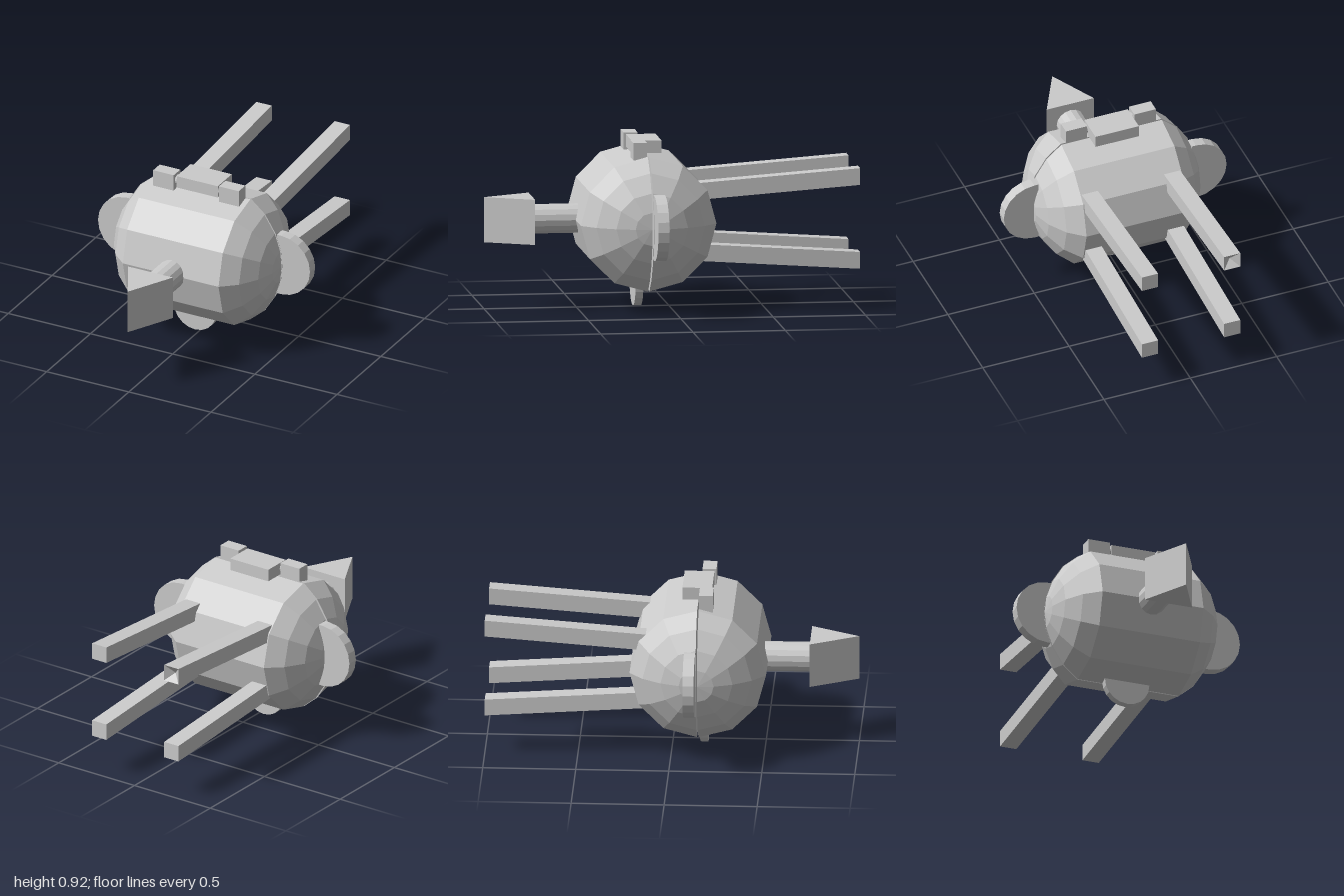
import * as THREE from 'three';

const grey = new THREE.MeshStandardMaterial({ color: 0xcccccc, flatShading: true, side: THREE.DoubleSide });

export function createModel() {
  const group = new THREE.Group();
  const add = (name, geometry, x = 0, y = 0, z = 0) => {
    const mesh = new THREE.Mesh(geometry, grey);
    mesh.name = name;
    mesh.position.set(x, y, z);
    group.add(mesh);
    return mesh;
  };
  const box = (name, x0, x1, y0, y1, z0, z1) =>
    add(name, new THREE.BoxGeometry(x1 - x0, y1 - y0, z1 - z0), (x0 + x1) / 2, (y0 + y1) / 2, (z0 + z1) / 2);

  // Body: two facetted capsule halves lying along x, with a fine seam between them
  const R = 0.363, bodyY = 0.482, bodyZ = 0.146, seam = 0.004;
  const profile = [
    [0, -0.488], [0.09, -0.478], [0.19, -0.443], [0.29, -0.38], [R, -0.296],
    [R, 0.286], [0.29, 0.372], [0.19, 0.435], [0.09, 0.468], [0, 0.476],
  ].map(([r, x]) => new THREE.Vector2(r, x));
  const outline = new THREE.Shape([
    ...profile.map(p => new THREE.Vector2(p.y, -p.x)),
    ...profile.slice(1, -1).reverse().map(p => new THREE.Vector2(p.y, p.x)),
  ]);
  for (const [name, side] of [['bodyFront', 1], ['bodyBack', -1]]) {
    const shell = new THREE.LatheGeometry(profile, 6, side > 0 ? -Math.PI / 2 : Math.PI / 2, Math.PI);
    shell.rotateZ(-Math.PI / 2);
    add(name, shell, 0, bodyY, bodyZ + side * seam);
    const cap = new THREE.ShapeGeometry(outline);
    if (side > 0) cap.rotateY(Math.PI).translate(-0.012, 0, 0);
    add(name + 'Cap', cap, 0, bodyY, bodyZ + side * seam);
  }

  // Half-disc fins: one each side and one below
  const halfDisc = (r, neck, depth) => {
    const shape = new THREE.Shape();
    shape.moveTo(-neck, -r);
    shape.lineTo(0, -r);
    for (let i = 1; i <= 10; i++) {
      const a = -Math.PI / 2 + (i / 10) * Math.PI;
      shape.lineTo(r * Math.cos(a), r * Math.sin(a));
    }
    shape.lineTo(-neck, r);
    return new THREE.ExtrudeGeometry(shape, { depth, bevelEnabled: false });
  };
  add('leftFin', halfDisc(0.177, 0.025, 0.06), 0.467, 0.488, 0.08);
  add('rightFin', halfDisc(0.177, 0.025, 0.06).rotateY(Math.PI), -0.469, 0.488, 0.14);
  add('bottomFin', halfDisc(0.128, 0.03, 0.042).rotateZ(-Math.PI / 2), -0.028, 0.128, 0.15);

  // Nose: round shaft with a wedge tip
  add('noseShaft', new THREE.CylinderGeometry(0.08, 0.08, 0.3, 16).rotateX(Math.PI / 2), -0.008, 0.482, 0.6);
  const wedge = new THREE.Shape([
    new THREE.Vector2(-0.143, -0.74), new THREE.Vector2(-0.007, -1), new THREE.Vector2(0.13, -0.74),
  ]);
  add('noseTip', new THREE.ExtrudeGeometry(wedge, { depth: 0.245, bevelEnabled: false }).rotateX(-Math.PI / 2), 0, 0.36, 0);

  // Hinge on top: a block held by two knuckles on a pin
  box('hingeBlock', -0.128, 0.123, 0.846, 0.914, 0.055, 0.215);
  box('hingeKnuckleRight', -0.265, -0.14, 0.828, 0.921, 0.15, 0.225);
  box('hingeKnuckleLeft', 0.135, 0.256, 0.828, 0.921, 0.15, 0.225);
  add('hingePin', new THREE.CylinderGeometry(0.026, 0.026, 0.36, 12).rotateZ(Math.PI / 2), -0.004, 0.88, 0.186);

  // Rear legs: square bars sheared upwards or downwards towards the back
  const z0 = -0.1, z1 = -1, w = 0.094, h = 0.091;
  const leg = (name, x, yStart, yEnd, hollow) => {
    const length = z0 - z1;
    const square = [[-w / 2, -h / 2], [w / 2, -h / 2], [w / 2, h / 2], [-w / 2, h / 2]];
    let geo;
    if (hollow) {
      // Square bar whose rear end is sunk to a point
      const verts = [], index = [];
      for (const z of [length / 2, -length / 2]) for (const [px, py] of square) verts.push(px, py, z);
      verts.push(0, 0, -length / 2 + 0.04);
      for (let i = 0; i < 4; i++) {
        const j = (i + 1) % 4;
        index.push(i, i + 4, j, j, i + 4, j + 4, j + 4, i + 4, 8);
      }
      index.push(0, 1, 2, 0, 2, 3);
      geo = new THREE.BufferGeometry();
      geo.setAttribute('position', new THREE.Float32BufferAttribute(verts, 3));
      geo.setIndex(index);
    } else {
      geo = new THREE.BoxGeometry(w, h, length);
    }
    const p = geo.attributes.position;
    for (let i = 0; i < p.count; i++) {
      const t = 0.5 - p.getZ(i) / length;
      p.setY(i, p.getY(i) + yStart + (yEnd - yStart) * t);
    }
    geo.computeVertexNormals();
    add(name, geo, x, 0, (z0 + z1) / 2);
  };
  for (const [side, x] of [['Left', 0.233], ['Right', -0.243]]) {
    leg('upperLeg' + side, x, 0.654, 0.72, side === 'Right');
    leg('lowerLeg' + side, x, 0.326, 0.265, false);
  }
  return group;
}
